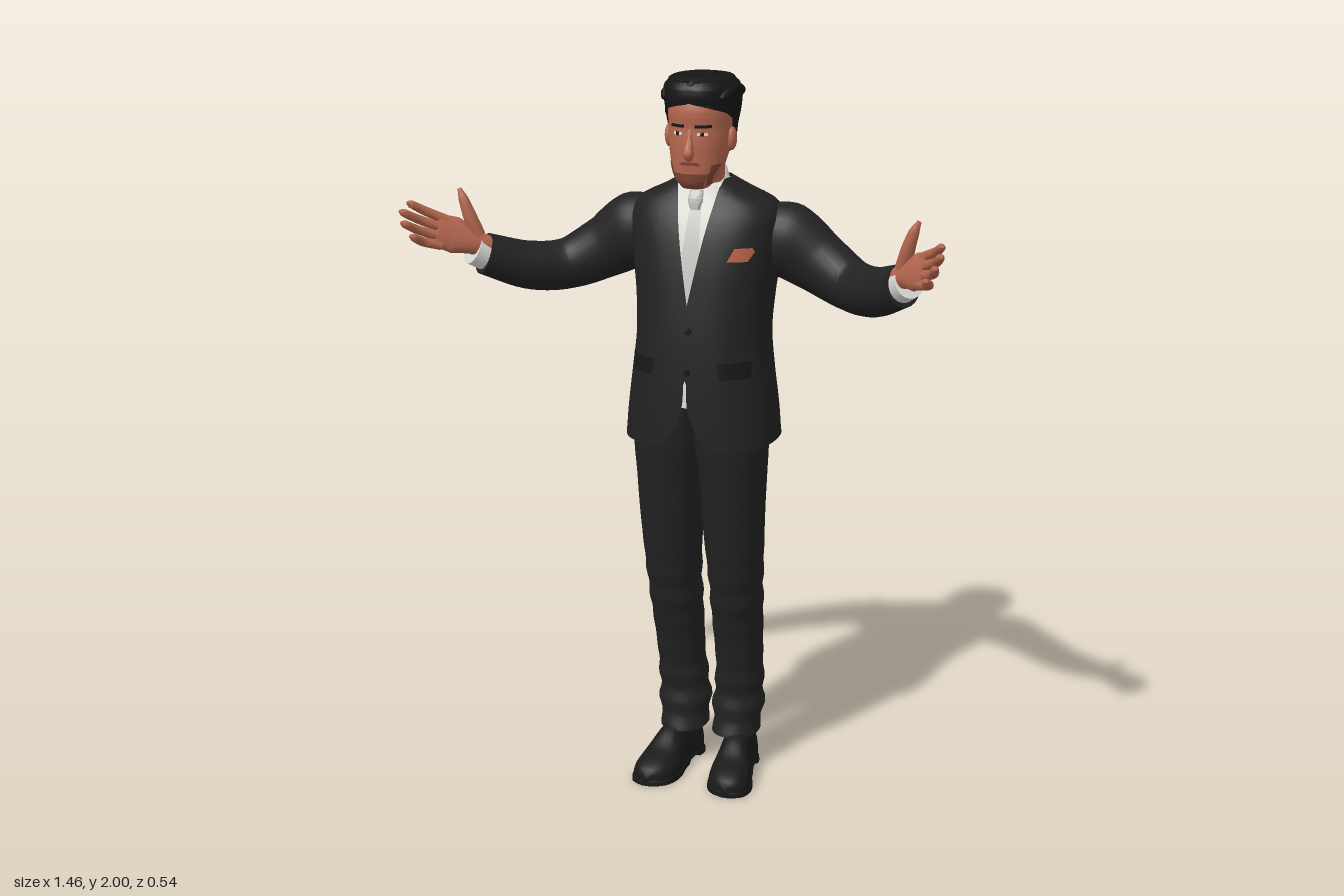
import * as THREE from 'three';
import { toCreasedNormals } from 'three/addons/utils/BufferGeometryUtils.js';

const paint = (name, color) => {
  const m = new THREE.MeshStandardMaterial({ color, side: THREE.DoubleSide });
  m.name = name;
  return m;
};
const { lerp, clamp } = THREE.MathUtils;
const spow = (v, p) => Math.sign(v) * Math.abs(v) ** p;

// Smooth table: rows of [key, ...values]
function smooth(rows) {
  const size = rows[0].length - 1;
  const c = new THREE.CubicInterpolant(rows.map(r => r[0]), rows.flatMap(r => r.slice(1)), size, new Array(size));
  return k => [...c.evaluate(k)];
}
// Straight table: rows of [key, value]
const straight = rows => k => {
  let i = 1;
  while (i < rows.length - 1 && k > rows[i][0]) i++;
  const [a, b] = [rows[i - 1], rows[i]];
  return lerp(a[1], b[1], clamp((k - a[0]) / (b[0] - a[0]), 0, 1));
};

// Surface from f(u, row) with u from 0 to 1
function grid(f, cols, rows) {
  const pos = [], idx = [];
  for (let i = 0; i <= rows; i++) for (let j = 0; j <= cols; j++) pos.push(...f(j / cols, i));
  for (let i = 0; i < rows; i++) for (let j = 0; j < cols; j++) {
    const a = i * (cols + 1) + j, d = a + cols + 1;
    idx.push(a, a + 1, d, a + 1, d + 1, d);
  }
  const g = new THREE.BufferGeometry();
  g.setAttribute('position', new THREE.Float32BufferAttribute(pos, 3));
  g.setIndex(idx);
  return toCreasedNormals(g, 0.9);
}

// Stack of rounded sections [centreX, halfWidth, zFront, zBack]; open(y, halfWidth) is the front gap angle
function loft(sec, y0, y1, { n = 2.4, open = () => 0, rows = 36, cols = 40, cap = true } = {}) {
  return grid((u, i) => {
    const y = lerp(y0, y1, cap ? clamp((i - 1) / (rows - 2), 0, 1) : i / rows);
    const [cx, a, zf, zb] = sec(y);
    const k = cap && (i === 0 || i === rows) ? 0 : 1;
    const t0 = open(y, a), t = lerp(t0, 2 * Math.PI - t0, u);
    return [cx + k * a * spow(Math.sin(t), 2 / n), y, (zf + zb) / 2 + k * (zf - zb) / 2 * spow(Math.cos(t), 2 / n)];
  }, cols, rows);
}
// Thin plate lying on the front of a lofted form
function patch(sec, n, y0, y1, xa, xb, lift, rows = 16) {
  return grid((u, i) => {
    const y = lerp(y0, y1, i / rows), [cx, a, zf, zb] = sec(y);
    const x = lerp(xa(y), xb(y), u), q = Math.min(Math.abs((x - cx) / a), 0.99);
    return [x, y, (zf + zb) / 2 + (zf - zb) / 2 * (1 - q ** n) ** (1 / n) + lift];
  }, 8, rows);
}
// Closed limb along points, with radii [side, upright] at each point
function limb(points, radii, ref = new THREE.Vector3(0, 1, 0), rows = 26, cols = 18) {
  const curve = new THREE.CatmullRomCurve3(points.map(p => p.isVector3 ? p : new THREE.Vector3(...p)));
  return grid((u, i) => {
    const v = clamp((i - 1) / (rows - 2), 0, 1), k = v * (radii.length - 1), m = Math.min(Math.floor(k), radii.length - 2);
    const end = i === 0 || i === rows ? 0 : 1;
    const r = [0, 1].map(c => end * lerp(radii[m][c], radii[m + 1][c], k - m));
    const T = curve.getTangent(v), S = T.clone().cross(ref).normalize(), U = S.clone().cross(T);
    const t = u * 2 * Math.PI;
    return curve.getPoint(v).addScaledVector(S, r[0] * Math.cos(t)).addScaledVector(U, r[1] * Math.sin(t)).toArray();
  }, cols, rows);
}

export function createModel() {
  const suit = paint('suit cloth', 0x222222), trim = paint('dark trim', 0x171717), hairMat = paint('hair', 0x161616);
  const shoe = paint('shoe leather', 0x191919), shirt = paint('shirt', 0xdcdcd6), tieMat = paint('tie', 0xc6c6c2);
  const skin = paint('skin', 0xb4674f), beard = paint('beard', 0x7c4434), silk = paint('pocket silk', 0xb85f48);
  const figure = new THREE.Group();
  figure.name = 'figure';
  figure.position.x = 0.01;
  const add = (name, geo, mat, parent = figure) => {
    const m = new THREE.Mesh(geo, mat);
    m.name = name;
    parent.add(m);
    return m;
  };

  // Jacket, open at the neck and cut away at the hem
  const body = smooth([[1.01, 0, .208, .07, -.275], [1.1, 0, .2, .068, -.272], [1.2, 0, .188, .063, -.265], [1.3, 0, .178, .055, -.268],
    [1.4, 0, .183, .042, -.28], [1.5, 0, .196, .025, -.285], [1.58, 0, .203, .004, -.272], [1.62, 0, .202, -.012, -.262],
    [1.655, 0, .18, -.03, -.24], [1.685, 0, .12, -.043, -.212], [1.715, 0, .068, -.055, -.18]]);
  const gap = y => y > 1.39 ? (y - 1.39) * .19 : y < 1.19 ? .004 + .07 * ((1.19 - y) / .18) ** 3 : 0;
  add('jacket', loft(body, 1.01, 1.715, { n: 2.5, cap: false, rows: 60, cols: 64,
    open: (y, a) => Math.asin(Math.min(gap(y) / a, .95) ** 1.25) }), suit);
  const inner = y => { const [c, a, f, b] = body(y); return [c, a - .012, f - .012, b + .012]; };
  add('shirt', loft(inner, 1.12, 1.705, { n: 2.5 }), shirt);
  add('tie', patch(inner, 2.5, 1.38, 1.66, y => -lerp(.034, .014, (y - 1.38) / .28), y => lerp(.034, .014, (y - 1.38) / .28), .007), tieMat);
  add('tieKnot', limb([[0, 1.64, -.022], [0, 1.665, -.026], [0, 1.69, -.04]], [[.013, .01], [.021, .014], [.018, .01]], new THREE.Vector3(0, 0, 1)), tieMat);
  const lapelEdge = straight([[1.33, .002], [1.42, .055], [1.595, .108], [1.605, .085], [1.615, .098], [1.67, .088], [1.70, .075]]);
  for (const s of [-1, 1]) {
    add('lapel', patch(body, 2.5, 1.33, 1.7, y => s * gap(y), y => s * lapelEdge(y), .008, 60), suit);
    add('pocketFlap', patch(body, 2.5, 1.205, 1.25, y => s * (.085 + (1.25 - y) * .2), () => s * .165, .007), trim);
  }
  add('pocketSquare', patch(body, 2.5, 1.515, 1.55, y => .1 + (y - 1.515) * .5, y => .165 - Math.abs(y - 1.54) * .6, .009), silk);
  for (const y of [1.22, 1.33]) {
    const b = add('button', new THREE.CylinderGeometry(.009, .009, .008, 14), trim);
    b.rotation.x = Math.PI / 2;
    b.position.set(.006, y, body(y)[2] + .003);
  }

  // Shirt collar: higher at the back, with two points in front
  add('shirtCollar', grid((u, i) => {
    const t = lerp(.12, 2 * Math.PI - .12, u), c = Math.cos(t), front = Math.max(0, c), v = i / 8;
    const y = lerp(1.69 - .045 * front ** 3, 1.722 - .03 * c, v), r = lerp(.072, .058, v);
    return [r * Math.sin(t), y, -.108 + r * c * 1.05 + .008 * front * (1 - v)];
  }, 40, 8), shirt);

  // Trousers and shoes
  const inOut = smooth([[.11, .012, .142], [.2, .01, .15], [.3, .02, .15], [.45, .019, .156], [.6, .017, .163], [.75, .008, .171], [.9, .001, .178], [1, -.012, .183], [1.13, -.02, .175]]);
  const depth = smooth([[.11, -.09, -.25], [.2, -.105, -.258], [.38, -.08, -.236], [.5, -.045, -.222], [.6, -.02, -.21], [.8, .015, -.195], [.9, .027, -.2], [1, .04, -.203], [1.13, .045, -.22]]);
  const shoeShape = smooth([[-.238, .02, .05], [-.225, .04, .085], [-.14, .045, .115], [-.08, .05, .1], [-.03, .06, .067], [.02, .056, .048], [.05, .035, .032], [.062, .008, .02]]);
  const shoeLoft = (s, base, height, grow, p) => grid((u, i) => {
    const z = lerp(-.238, .062, clamp((i - 1) / 28, 0, 1)), [w, h] = shoeShape(z), t = u * 2 * Math.PI;
    const k = i === 0 || i === 30 ? 0 : 1, arch = z > -.165 && z < -.11 ? .01 : 0;
    return [s * (.078 + (z + .238) * .13) + k * (w + grow) * spow(Math.cos(t), .8), Math.sin(t) > 0 ? base + k * (height || h) * Math.sin(t) ** p : base + (base ? 0 : arch), z];
  }, 28, 30);
  for (const s of [-1, 1]) {
    const leg = y => {
      const [a, b] = inOut(y), [f, k] = depth(y);
      const fold = .005 * Math.sin(y * 75) * (Math.exp(-(((y - .2) / .1) ** 2)) + .5 * Math.exp(-(((y - .55) / .1) ** 2)));
      return [s * (a + b) / 2, (b - a) / 2 + fold, f + fold, k - fold];
    };
    add('trouserLeg', loft(leg, .11, 1.13, { n: 2.2, rows: 70 }), suit);
    add('shoe', shoeLoft(s, .014, 0, 0, .8), shoe);
    add('shoeSole', shoeLoft(s, 0, .018, .004, .2), trim);
  }

  // Arms and hands
  for (const s of [-1, 1]) {
    const arm = new THREE.Group();
    arm.name = s > 0 ? 'leftArm' : 'rightArm';
    figure.add(arm);
    const mir = list => list.map(([x, y, z]) => [s * x, y, z]);
    add('sleeve', limb(mir([[.13, 1.56, -.15], [.21, 1.545, -.16], [.3, 1.492, -.16], [.4, 1.445, -.125], [.48, 1.45, -.052], [.575, 1.495, .04]]),
      [[.075, .08], [.085, .105], [.075, .085], [.066, .07], [.062, .066], [.05, .056]], undefined, 40, 26), suit, arm);
    add('shirtCuff', limb(mir([[.545, 1.48, .01], [.575, 1.497, .04], [.597, 1.513, .065]]), [[.04, .044], [.042, .046], [.04, .044]]), shirt, arm);
    const wrist = new THREE.Vector3(s * .575, 1.522, .055);
    const D = new THREE.Vector3(s * .752, 1.62, .245 + s * .025).sub(wrist).normalize();
    const W = new THREE.Vector3(0, .85, -.45);
    W.addScaledVector(D, -W.dot(D)).normalize();
    const N = D.clone().cross(W).multiplyScalar(s > 0 ? -1 : 1);
    if (N.z < 0) N.negate();
    const at = (l, w, n) => wrist.clone().addScaledVector(D, l).addScaledVector(W, w).addScaledVector(N, n);
    add('palm', limb([at(-.02, 0, 0), at(.03, 0, 0), at(.08, .003, -.002), at(.135, 0, 0)],
      [[.026, .03], [.024, .034], [.021, .05], [.014, .045]], W), skin, arm);
    [[.036, .235], [.012, .253], [-.012, .245], [-.035, .215]].forEach(([w, tip], i) => {
      const bend = .006 + i * .006;
      add('finger', limb([at(.115, w, 0), at(lerp(.115, tip, .5), w * 1.15, -.003), at(tip - .012, w * 1.25, bend), at(tip, w * 1.25, bend + .003)],
        [[.013, .0135], [.0125, .0125], [.0105, .0105], [.004, .004]], W, 14, 12), skin, arm);
    });
    add('thumb', limb([at(.02, .02, .008), at(.06, .062, .02), at(.088, .098, .024), at(.105, .123, .022)],
      [[.02, .022], [.018, .018], [.013, .014], [.005, .006]], N, 14, 12), skin, arm);
  }

  // Head
  const head = new THREE.Group();
  head.name = 'head';
  figure.add(head);
  const skull = smooth([[1.7, 0, .032, .008, -.055], [1.715, 0, .048, .017, -.08], [1.74, 0, .063, .02, -.105], [1.78, 0, .074, .022, -.14],
    [1.82, 0, .08, .024, -.165], [1.86, 0, .083, .021, -.178], [1.9, 0, .084, .024, -.182], [1.94, 0, .075, .012, -.17]]);
  add('face', loft(skull, 1.7, 1.94, { n: 2.2 }), skin, head);
  add('neck', limb([[0, 1.62, -.11], [0, 1.7, -.105], [0, 1.79, -.095]], [[.052, .052], [.052, .052], [.056, .06]], new THREE.Vector3(0, 0, 1)), skin, head);
  add('nose', limb([[0, 1.857, .015], [0, 1.825, .022], [0, 1.795, .031], [0, 1.782, .024]], [[.007, .008], [.009, .013], [.015, .017], [.009, .012]], new THREE.Vector3(0, 0, 1), 16), skin, head);
  const plate = (name, y0, y1, xa, xb, lift, mat) => add(name, patch(skull, 2.2, y0, y1, xa, xb, lift), mat, head);
  plate('chinBeard', 1.702, 1.742, y => -.028 - (y - 1.702) * .5, y => .028 + (y - 1.702) * .5, .003, beard);
  plate('moustache', 1.764, 1.773, y => -.03 + (y - 1.764), y => .03 - (y - 1.764), .004, beard);
  plate('lips', 1.749, 1.76, () => -.022, () => .022, .005, silk);
  for (const s of [-1, 1]) {
    plate('jawBeard', 1.712, 1.765, y => s * (.038 + (y - 1.712) * .3), y => s * (.046 + (y - 1.712) * .45), .003, beard);
    plate('eyebrow', 1.862, 1.87, () => s * .014, () => s * .055, .005, hairMat);
    plate('eye', 1.842, 1.85, () => s * .021, () => s * .046, .003, shirt);
    plate('iris', 1.841, 1.851, () => s * .029, () => s * .038, .005, trim);
    const ear = add('ear', new THREE.SphereGeometry(1, 16, 12), skin, head);
    ear.scale.set(.012, .031, .019);
    ear.position.set(s * .086, 1.825, -.07);
  }

  // Hair: a cap with sideburns, and locks swept back over the top
  const hair = smooth([[1.76, 0, .06, 0, -.165], [1.8, 0, .08, .02, -.186], [1.86, 0, .09, .028, -.195], [1.91, .004, .096, .036, -.197],
    [1.95, .004, .098, .042, -.188], [1.975, .004, .086, .03, -.166], [1.99, .002, .05, -.005, -.125], [1.993, 0, .003, -.06, -.066]]);
  const hairline = straight([[1.76, 2.4], [1.8, 1.95], [1.82, 1.55], [1.88, 1.35], [1.9, 1], [1.917, .4], [1.925, 0]]);
  add('hairCap', loft(hair, 1.76, 1.993, { n: 2.25, cap: false, open: hairline, rows: 60, cols: 48 }), hairMat, head);
  for (let k = -3; k <= 3; k++) {
    const x = k * .025, drop = x * x * 5;
    add('hairLock', limb([[x * .9 - .005, 1.94 - drop * .4, .026 - drop], [x + .004, 1.972 - drop, .018 - drop], [x + .014, 1.984 - drop, -.06], [x + .008, 1.968 - drop, -.135], [x * .7, 1.92, -.185 + drop]],
      [[.012, .01], [.018, .015], [.018, .016], [.017, .013], [.008, .006]]), hairMat, head);
  }

  const model = new THREE.Group();
  model.name = 'suitedMan';
  model.add(figure);
  return model;
}
